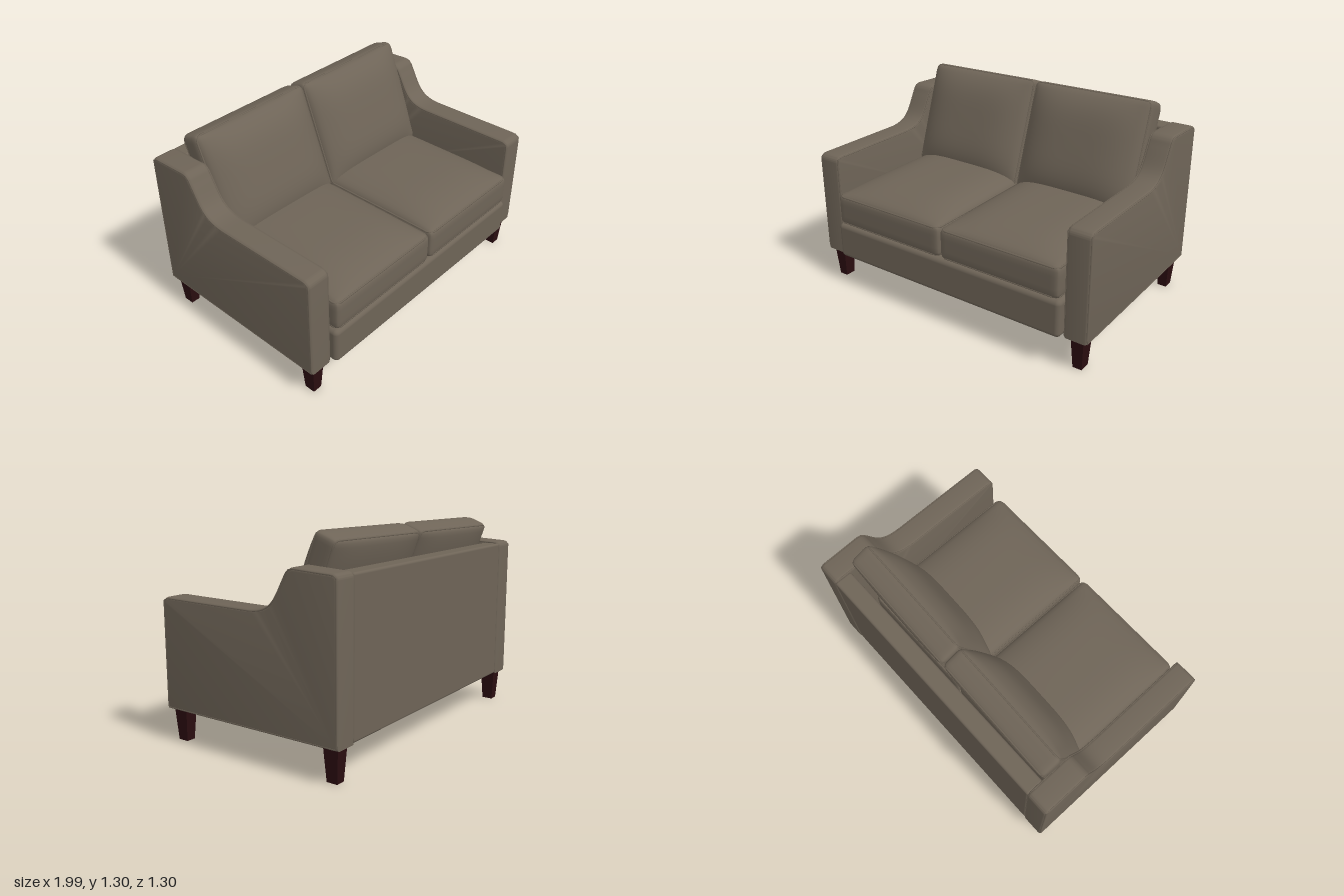
import * as THREE from 'three';
import { mergeVertices, toCreasedNormals } from 'three/addons/utils/BufferGeometryUtils.js';
import { RoundedBoxGeometry } from 'three/addons/geometries/RoundedBoxGeometry.js';

const fabric = new THREE.MeshStandardMaterial({ color: 0x6e6457 });
fabric.name = 'taupe fabric';
const wood = new THREE.MeshStandardMaterial({ color: 0x2a0d10 });
wood.name = 'dark wood';

function addMesh(parent, name, geometry, material, x = 0, y = 0, z = 0) {
  const mesh = new THREE.Mesh(geometry, material);
  mesh.name = name;
  mesh.position.set(x, y, z);
  parent.add(mesh);
  return mesh;
}

// Closed welt cord through a loop of points
function cord(points, radius = 0.006) {
  const curve = new THREE.CatmullRomCurve3(points, true, 'centripetal');
  return new THREE.TubeGeometry(curve, 160, radius, 6, true);
}

// Soft box whose top and bottom swell by the given crowns
function cushionGeometry(w, h, d, r, crownTop, crownBottom) {
  let geo = new THREE.BoxGeometry(2, 2, 2, 24, 8, 24);
  geo.deleteAttribute('uv');
  geo.deleteAttribute('normal');
  geo = mergeVertices(geo);
  const half = new THREE.Vector3(w / 2, h / 2, d / 2);
  const limit = half.clone().subScalar(r);
  const pos = geo.attributes.position;
  const p = new THREE.Vector3(), inner = new THREE.Vector3();
  const ease = (t) => Math.sin(t * Math.PI / 2);
  for (let i = 0; i < pos.count; i++) {
    p.fromBufferAttribute(pos, i);
    p.set(ease(p.x), ease(p.y), ease(p.z));
    const swell = (1 - p.x ** 4) * (1 - p.z ** 4) * p.y * (p.y > 0 ? crownTop : crownBottom);
    p.multiply(half);
    inner.copy(p).clamp(limit.clone().negate(), limit);
    p.sub(inner).setLength(r).add(inner);
    pos.setXYZ(i, p.x, p.y + swell, p.z);
  }
  geo.computeVertexNormals();
  return geo;
}

// Cushion with a welt around its upper and lower edges
function cushion(name, w, h, d, crownTop, crownBottom) {
  const group = new THREE.Group();
  group.name = name;
  const r = 0.035;
  addMesh(group, name + 'Body', cushionGeometry(w, h, d, r, crownTop, crownBottom), fabric);
  const a = w / 2 - r * 0.3, b = d / 2 - r * 0.3, c = 0.035;
  const s = new THREE.Shape();
  s.moveTo(-a + c, -b).lineTo(a - c, -b).quadraticCurveTo(a, -b, a, -b + c);
  s.lineTo(a, b - c).quadraticCurveTo(a, b, a - c, b);
  s.lineTo(-a + c, b).quadraticCurveTo(-a, b, -a, b - c);
  s.lineTo(-a, -b + c).quadraticCurveTo(-a, -b, -a + c, -b);
  for (const side of [-1, 1]) {
    const points = s.getSpacedPoints(100).slice(0, -1)
      .map((q) => new THREE.Vector3(q.x, side * (h / 2 - r * 0.3), q.y));
    addMesh(group, name + 'Welt', cord(points), fabric);
  }
  return group;
}

// Side outline of an arm (z across, y up), sweeping up to the back
function armProfile(i) {
  const s = new THREE.Shape();
  const front = 0.608 - i, back = -0.65 + i, low = 0.2 + i;
  s.moveTo(back, low);
  s.lineTo(front, low);
  s.lineTo(front, 0.85 - i);
  s.quadraticCurveTo(front, 0.877 - i, front - 0.03, 0.877 - i);
  s.lineTo(-0.04, 0.875 - i);
  s.bezierCurveTo(-0.23 - i, 0.872 - i, -0.235 - i, 0.97 - i, -0.31 - i, 1.09 - i);
  s.quadraticCurveTo(-0.325 - i, 1.125 - i, -0.36 - i, 1.123 - i);
  s.lineTo(back + 0.02, 1.112 - i);
  s.quadraticCurveTo(back, 1.112 - i, back, 1.092 - i);
  s.lineTo(back, low);
  return s;
}

function arm(name) {
  const group = new THREE.Group();
  group.name = name;
  const width = 0.152, bevel = 0.018;
  let geo = new THREE.ExtrudeGeometry(armProfile(bevel), {
    depth: width - 2 * bevel, bevelEnabled: true, bevelSize: bevel,
    bevelThickness: bevel, bevelSegments: 4, curveSegments: 14,
  });
  geo.translate(0, 0, bevel - width / 2);
  geo.rotateY(-Math.PI / 2);
  geo = toCreasedNormals(geo, 0.6);
  addMesh(group, name + 'Body', geo, fabric);
  for (const side of [-1, 1]) {
    const points = armProfile(0.009).getSpacedPoints(140).slice(0, -1)
      .map((q) => new THREE.Vector3(side * (width / 2 - 0.005), q.y, q.x));
    addMesh(group, name + 'Welt', cord(points), fabric);
  }
  return group;
}

export function createModel() {
  const sofa = new THREE.Group();
  sofa.name = 'sofa';

  // Arms and legs, mirrored left and right
  for (const side of [-1, 1]) {
    const label = side > 0 ? 'left' : 'right';
    const a = arm(label + 'Arm');
    a.position.x = side * 0.92;
    sofa.add(a);
    for (const [end, z] of [['Front', 0.535], ['Back', -0.578]]) {
      let leg = new THREE.CylinderGeometry(Math.SQRT1_2, Math.SQRT1_2 * 0.7, 0.21, 4);
      leg.rotateY(Math.PI / 4);
      leg.scale(0.084, 1, 0.098);
      leg = toCreasedNormals(leg, 0.3);
      addMesh(sofa, label + end + 'Leg', leg, wood, side * 0.92, 0.105, z);
    }
  }

  // Frame: base, front rail and back panel
  addMesh(sofa, 'base', new THREE.BoxGeometry(1.7, 0.235, 1.15), fabric, 0, 0.3225, -0.05);
  addMesh(sofa, 'frontRail', new RoundedBoxGeometry(1.68, 0.238, 0.2, 4, 0.03), fabric, 0, 0.321, 0.55);
  addMesh(sofa, 'backPanel', new RoundedBoxGeometry(1.7, 0.9, 0.115, 3, 0.015), fabric, 0, 0.652, -0.59);

  // Seat and back cushions
  for (const side of [-1, 1]) {
    const label = side > 0 ? 'left' : 'right';
    const seat = cushion(label + 'SeatCushion', 0.825, 0.2, 1.1, 0.07, 0);
    seat.position.set(side * 0.415, 0.542, 0.097);
    sofa.add(seat);

    const back = new THREE.Group();
    back.name = label + 'BackCushionMount';
    const pad = cushion(label + 'BackCushion', 0.84, 0.15, 0.72, 0.085, 0.03);
    pad.rotation.x = Math.PI / 2;
    back.add(pad);
    back.rotation.set(-0.35, -0.025, 0.01);
    back.position.set(side > 0 ? 0.413 : -0.428, side > 0 ? 0.935 : 0.922, side > 0 ? -0.335 : -0.35);
    sofa.add(back);
  }
  return sofa;
}
